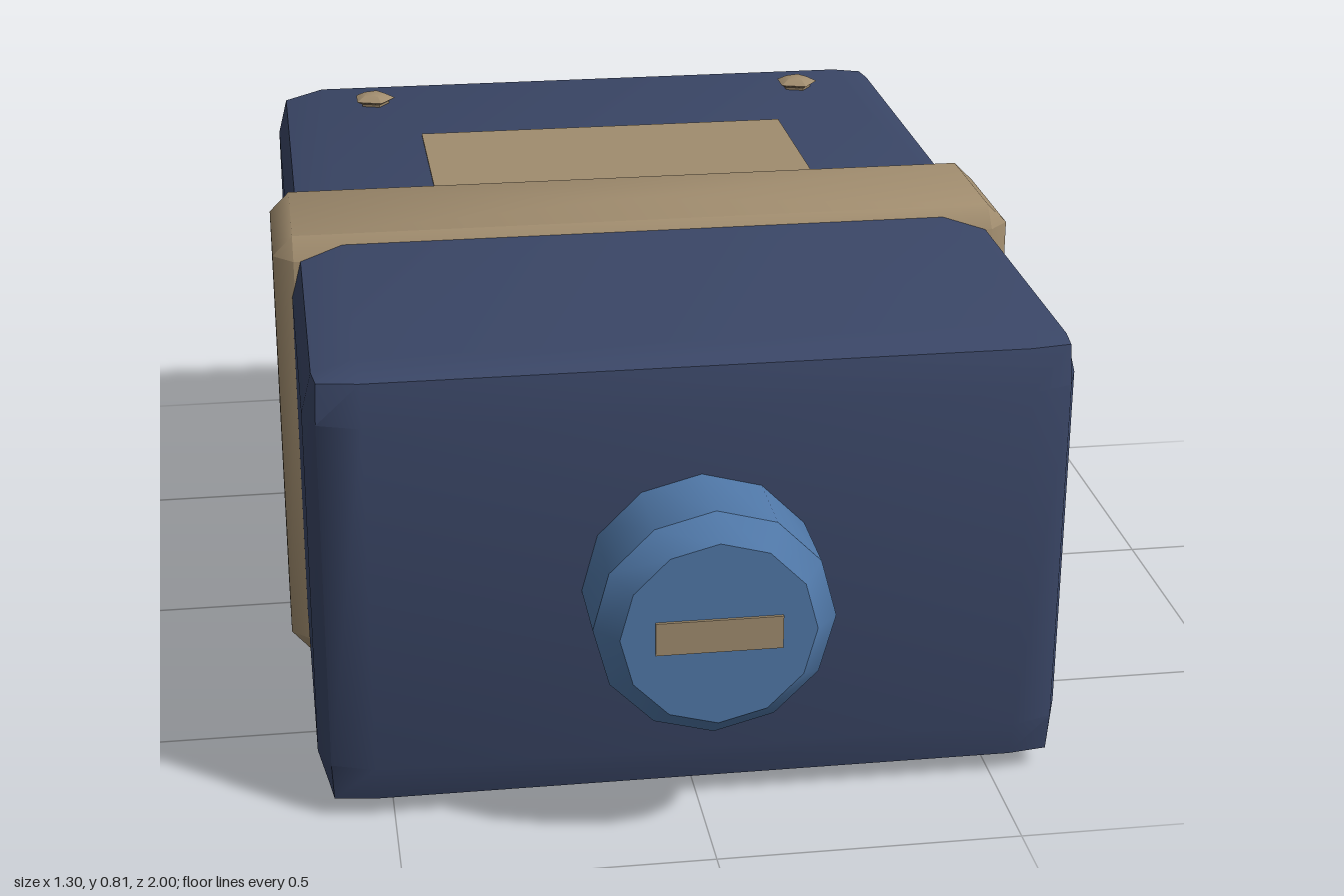
import * as THREE from 'three';
import { toCreasedNormals } from 'three/addons/utils/BufferGeometryUtils.js';

const material = (name, color, side = THREE.FrontSide) => {
  const m = new THREE.MeshStandardMaterial({ color, side });
  m.name = name;
  return m;
};

// Ring around y: each corner has the [x, z] points given for the +x +z corner.
function ring(y, points, softCorner) {
  const out = [];
  [[1, 1], [-1, 1], [-1, -1], [1, -1]].forEach(([sx, sz], q) => {
    const src = q === 2 && softCorner ? [points[0], softCorner, points[points.length - 1]] : points;
    const corner = src.map(([x, z]) => new THREE.Vector3(sx * x, y, sz * z));
    out.push(...(sx * sz > 0 ? corner : corner.reverse()));
  });
  return out;
}

// Skin stacked rings, close the top, leave the bottom open.
function shell(rings, crease, extra = []) {
  const pos = [];
  const tri = (a, b, c) => {
    const area = b.clone().sub(a).cross(c.clone().sub(a)).length();
    if (area > 1e-7) [a, b, c].forEach((p) => pos.push(p.x, p.y, p.z));
  };
  const n = rings[0].length;
  for (let i = 0; i < rings.length - 1; i++) {
    for (let k = 0; k < n; k++) {
      const a = rings[i][k], b = rings[i][(k + 1) % n];
      const d = rings[i + 1][k], c = rings[i + 1][(k + 1) % n];
      tri(a, d, b);
      tri(b, d, c);
    }
  }
  const top = rings[rings.length - 1];
  const centre = new THREE.Vector3(0, top[0].y, 0);
  for (let k = 0; k < n; k++) tri(centre, top[(k + 1) % n], top[k]);
  extra.forEach((t) => tri(...t));
  const g = new THREE.BufferGeometry();
  g.setAttribute('position', new THREE.Float32BufferAttribute(pos, 3));
  return toCreasedNormals(g, crease);
}

export function createModel() {
  const group = new THREE.Group();
  const navy = material('navy casing', 0x3a4666, THREE.DoubleSide);
  const tan = material('tan trim', 0xa08c6e, THREE.DoubleSide);
  const blue = material('blue terminal', 0x5078a8);
  const red = material('red terminal', 0xa85046);

  const add = (name, geometry, mat, x = 0, y = 0, z = 0, parent = group) => {
    const mesh = new THREE.Mesh(geometry, mat);
    mesh.name = name;
    mesh.position.set(x, y, z);
    parent.add(mesh);
    return mesh;
  };

  // Casing: softly bevelled box, open underneath, one corner cut wider
  const full = [[0.62, 0.74], [0.6, 0.793], [0.53, 0.817]];
  const edge = [[0.603, 0.74], [0.597, 0.787], [0.53, 0.797]];
  const flat = [[0.53, 0.74], [0.53, 0.74], [0.53, 0.74]];
  add('casing', shell([
    ring(0.035, edge, [0.565, 0.77]),
    ring(0.1, full, [0.582, 0.782]),
    ring(0.7, full, [0.582, 0.782]),
    ring(0.767, edge, [0.565, 0.77]),
    ring(0.787, flat),
  ], 0.9), navy);

  // Band: chamfered hollow slab wrapped around the casing, with pointed lower corners
  const bandRing = [[0.65, 0.12], [0.615, 0.155]];
  const bandTop = [[0.615, 0.12], [0.615, 0.12]];
  const tips = [];
  for (const sx of [1, -1]) {
    for (const sz of [1, -1]) {
      const a = new THREE.Vector3(sx * 0.65, 0.04, sz * 0.12);
      const b = new THREE.Vector3(sx * 0.615, 0.04, sz * 0.155);
      const c = new THREE.Vector3(sx * 0.615, 0, sz * 0.12);
      tips.push(sx * sz > 0 ? [a, b, c] : [b, a, c]);
    }
  }
  add('band', shell([ring(0.04, bandRing), ring(0.767, bandRing), ring(0.802, bandTop)], 0.9, tips),
    tan, 0, 0, 0.077);

  // Label plate on top
  add('label', new THREE.BoxGeometry(0.7, 0.008, 0.37), tan, 0, 0.786, -0.215);

  // Rivets near the back edge
  const rivetProfile = [[0, -0.01], [0.028, -0.01], [0.03, 0.006], [0.042, 0.012], [0.022, 0.022], [0, 0.024]]
    .map(([r, y]) => new THREE.Vector2(r, y));
  const rivet = toCreasedNormals(new THREE.LatheGeometry(rivetProfile, 5, Math.PI / 2), 0.6);
  for (const s of [1, -1]) add('rivet', rivet, tan, s * 0.43, 0.786, -0.625);

  // Terminals: chamfered twelve-sided caps with a sign plate on the end
  const capProfile = [[0, 0.77], [0.192, 0.77], [0.192, 0.955], [0.155, 0.995], [0, 0.995]]
    .map(([r, y]) => new THREE.Vector2(r, y));
  const cap = toCreasedNormals(new THREE.LatheGeometry(capProfile, 12).rotateX(Math.PI / 2), 0.6);
  const bar = new THREE.BoxGeometry(0.2, 0.055, 0.006);
  const stub = new THREE.BoxGeometry(0.055, 0.0725, 0.006);
  const terminal = (name, mat, turn, plus) => {
    const t = new THREE.Group();
    t.name = name;
    t.position.y = 0.4;
    t.rotation.y = turn;
    add('cap', cap, mat, 0, 0, 0, t);
    add('signBar', bar, tan, 0, 0, 0.997, t);
    if (plus) for (const s of [1, -1]) add('signStub', stub, tan, 0, s * 0.06375, 0.997, t);
    group.add(t);
  };
  terminal('frontTerminal', blue, 0, false);
  terminal('backTerminal', red, Math.PI, true);

  return group;
}
